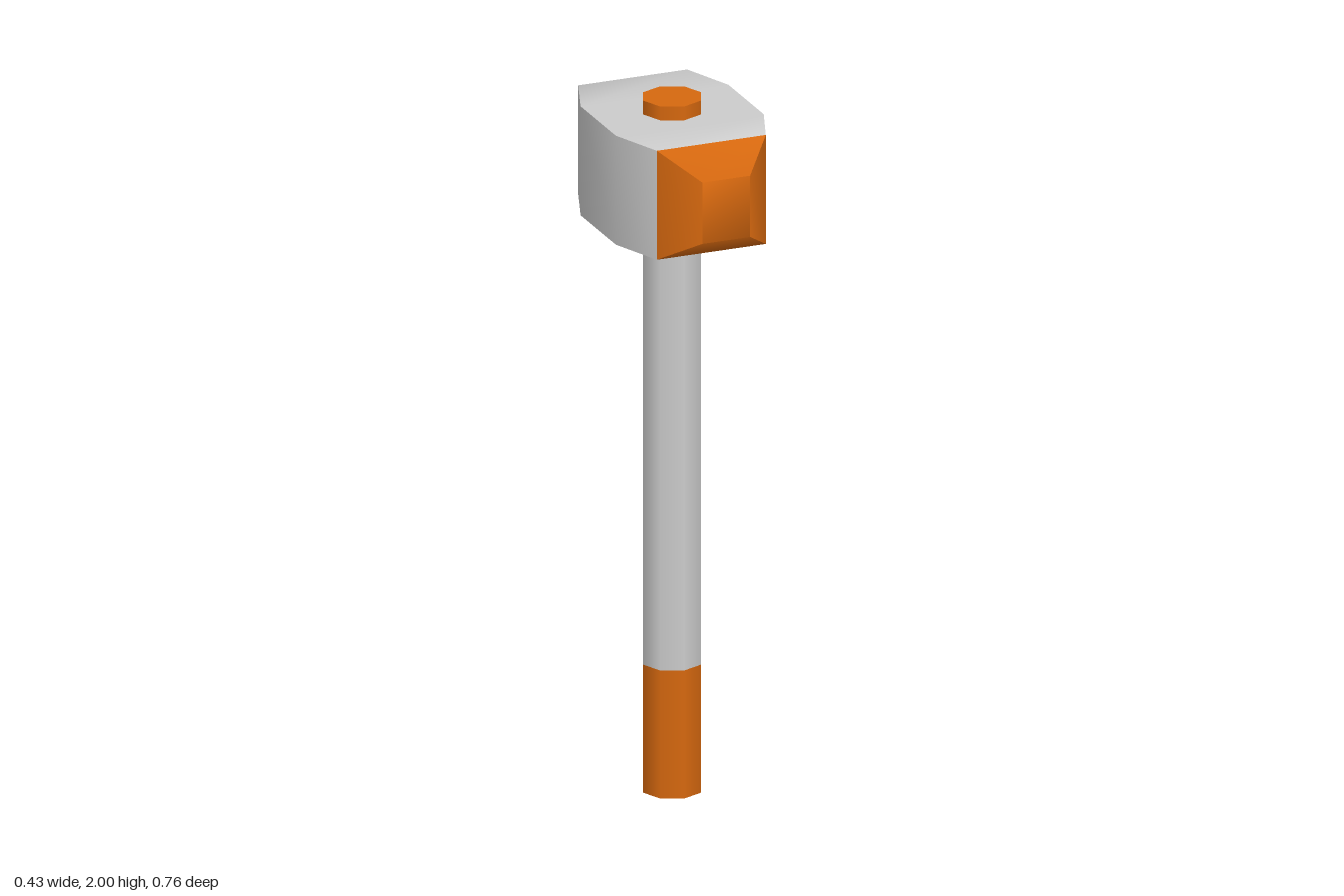
import * as THREE from 'three';
import { toCreasedNormals } from 'three/addons/utils/BufferGeometryUtils.js';

const grey = new THREE.MeshStandardMaterial({ color: 0xcccccc });
const orange = new THREE.MeshStandardMaterial({ color: 0xd6680f });

const HANDLE_RADIUS = 0.085;

function addMesh(group, name, geometry, material) {
  const mesh = new THREE.Mesh(geometry, material);
  mesh.name = name;
  group.add(mesh);
  return mesh;
}

// Open octagonal length of the handle, from y0 to y1
function addHandleSection(group, name, y0, y1, material) {
  const geometry = new THREE.CylinderGeometry(HANDLE_RADIUS, HANDLE_RADIUS, y1 - y0, 8, 1, true);
  addMesh(group, name, geometry, material).position.y = (y0 + y1) / 2;
}

// Flat end of the handle, facing up (1) or down (-1)
function addHandleEnd(group, name, y, facing, material) {
  const geometry = new THREE.CircleGeometry(HANDLE_RADIUS, 8).rotateX(-facing * Math.PI / 2);
  addMesh(group, name, geometry, material).position.y = y;
}

// Closed shell through rectangular sections along z: [z, half width, bottom, top]
function headShell(sections) {
  const rings = sections.map(([z, w, y0, y1]) => [[w, y0, z], [w, y1, z], [-w, y1, z], [-w, y0, z]]);
  const points = [];
  const quad = (a, b, c, d) => points.push(...a, ...b, ...c, ...a, ...c, ...d);
  const first = rings[0];
  quad(first[3], first[2], first[1], first[0]);
  for (let r = 0; r < rings.length - 1; r++) {
    const a = rings[r], b = rings[r + 1];
    for (let i = 0; i < 4; i++) {
      const j = (i + 1) % 4;
      quad(a[i], a[j], b[j], b[i]);
    }
  }
  quad(...rings[rings.length - 1]);
  const geometry = new THREE.BufferGeometry();
  geometry.setAttribute('position', new THREE.Float32BufferAttribute(points, 3));
  return toCreasedNormals(geometry, Math.PI / 3);
}

// Cut a run of vertices out of the shell, keeping its shared normals
function slice(shell, start, end) {
  const part = new THREE.BufferGeometry();
  for (const key of ['position', 'normal']) {
    const values = shell.attributes[key].array.slice(start * 3, end * 3);
    part.setAttribute(key, new THREE.BufferAttribute(values, 3));
  }
  return part;
}

export function createModel() {
  const model = new THREE.Group();
  model.name = 'hammer';

  // Handle
  const handle = new THREE.Group();
  handle.name = 'handle';
  addHandleEnd(handle, 'handleBottom', 0, -1, grey);
  addHandleSection(handle, 'grip', 0, 0.37, orange);
  addHandleSection(handle, 'shaft', 0.37, 1.6, grey);
  addHandleSection(handle, 'handleCollar', 1.6, 2, orange);
  addHandleEnd(handle, 'handleTop', 2, 1, orange);
  model.add(handle);

  // Head: widest in the middle, tapering to the two striking faces
  const head = new THREE.Group();
  head.name = 'head';
  const bottom = 1.645, top = 1.96;
  const shell = headShell([
    [-0.38, 0.07, 1.714, 1.891],
    [-0.277, 0.16, bottom, top],
    [-0.124, 0.217, bottom, top],
    [0.124, 0.217, bottom, top],
    [0.275, 0.16, bottom, top],
    [0.38, 0.07, 1.714, 1.891],
  ]);
  // One flat end is 6 vertices, one band of four sides is 24
  const faceEnd = 6 + 24, bodyEnd = faceEnd + 3 * 24;
  addMesh(head, 'backStrikingFace', slice(shell, 0, faceEnd), orange);
  addMesh(head, 'headBody', slice(shell, faceEnd, bodyEnd), grey);
  addMesh(head, 'frontStrikingFace', slice(shell, bodyEnd, bodyEnd + 30), orange);
  model.add(head);

  return model;
}
